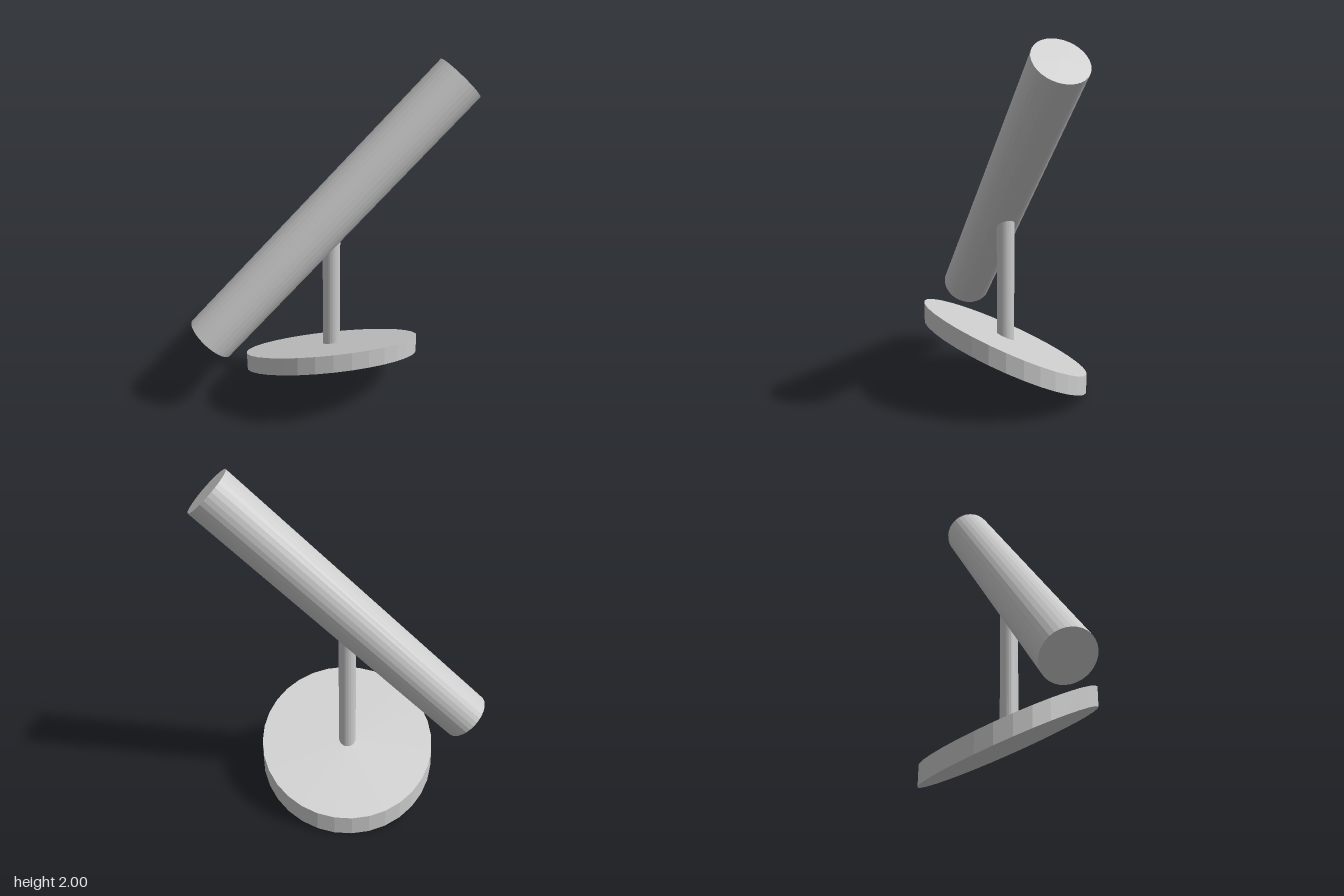
import * as THREE from 'three';

const material = new THREE.MeshStandardMaterial({ color: 0xcccccc, flatShading: true });

function cylinder(name, radius, height, y) {
  const mesh = new THREE.Mesh(new THREE.CylinderGeometry(radius, radius, height, 32), material);
  mesh.name = name;
  mesh.position.y = y;
  return mesh;
}

export function createModel() {
  const group = new THREE.Group();

  // Slanted foot disc: upright rim, with both faces rising towards the front
  const base = cylinder('base', 0.51, 0.112, 0.28);
  const shear = new THREE.Matrix4().set(
    1, 0, 0, 0,
    0, 1, 0.482, 0,
    0, 0, 1, 0,
    0, 0, 0, 1
  );
  base.geometry.scale(1, 1, 0.463 / 0.51).applyMatrix4(shear);
  group.add(base);

  // Upright post from the disc into the tube
  const bottom = 0.28, top = 1.15;
  group.add(cylinder('post', 0.05, top - bottom, (top + bottom) / 2));

  // Large solid tube leaning at 45 degrees towards the model's left
  const tube = cylinder('tube', 0.148, 2.01, 1.185);
  tube.rotation.z = -Math.PI / 4;
  group.add(tube);

  return group;
}
